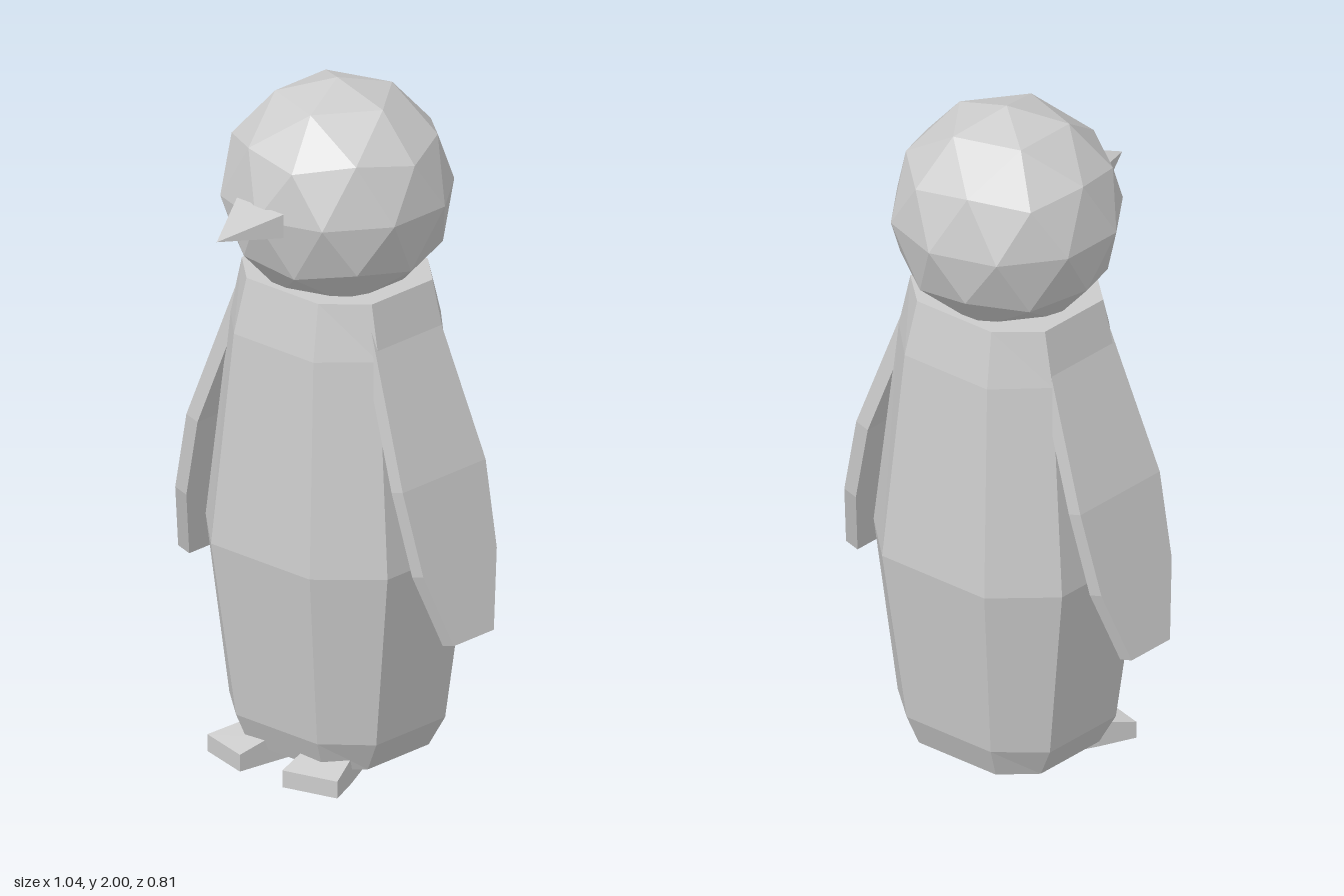
import * as THREE from 'three';

const material = new THREE.MeshStandardMaterial({ color: 0xcccccc, flatShading: true });
const CENTRE_Z = -0.08;

function addMesh(parent, name, geometry) {
  const mesh = new THREE.Mesh(geometry, material);
  mesh.name = name;
  parent.add(mesh);
  return mesh;
}

// Skins a row of cross-sections (equal numbers of [x, y, z] corners) and caps both ends.
function loft(rings) {
  const triangles = [];
  const n = rings[0].length;
  for (let i = 0; i < rings.length - 1; i++) {
    for (let j = 0; j < n; j++) {
      const k = (j + 1) % n;
      const [a, b, c, d] = [rings[i][j], rings[i][k], rings[i + 1][k], rings[i + 1][j]];
      triangles.push([a, b, c], [a, c, d]);
    }
  }
  const first = rings[0], last = rings[rings.length - 1];
  for (let j = 1; j < n - 1; j++) {
    triangles.push([first[0], first[j + 1], first[j]], [last[0], last[j], last[j + 1]]);
  }
  // A negative enclosed volume means the faces point inwards, so turn them round.
  let volume = 0;
  for (const t of triangles) {
    const [a, b, c] = t.map((p) => new THREE.Vector3(...p));
    volume += a.dot(b.cross(c));
  }
  if (volume < 0) triangles.forEach((t) => t.reverse());
  const geometry = new THREE.BufferGeometry();
  geometry.setAttribute('position', new THREE.Float32BufferAttribute(triangles.flat(2), 3));
  geometry.computeVertexNormals();
  return geometry;
}

// Eight-sided torso: height, half width, half depth, front half flat, side half flat
function bodyGeometry() {
  const sections = [
    [0.04, 0.23, 0.207, 0.14, 0.122],
    [0.13, 0.277, 0.243, 0.153, 0.138],
    [0.65, 0.343, 0.308, 0.186, 0.163],
    [1.27, 0.28, 0.255, 0.15, 0.13],
    [1.43, 0.245, 0.22, 0.135, 0.122],
  ];
  return loft(sections.map(([y, w, d, fx, fz]) =>
    [[w, fz], [fx, d], [-fx, d], [-w, fz], [-w, -fz], [-fx, -d], [fx, -d], [w, -fz]]
      .map(([x, z]) => [x, y, z + CENTRE_Z])));
}

// Bent slab: outer x, outer y, half width along z
function flipperGeometry(side) {
  const stations = [
    [0.23, 1.42, 0.122],
    [0.408, 0.93, 0.166],
    [0.468, 0.69, 0.147],
    [0.52, 0.48, 0.08],
  ];
  const z0 = CENTRE_Z + 0.005;
  return loft(stations.map(([x, y, w]) => [
    [side * x, y, z0 + w],
    [side * x, y, z0 - w],
    [side * (x - 0.042), y - 0.012, z0 - w],
    [side * (x - 0.042), y - 0.012, z0 + w],
  ]));
}

// Splayed wedge foot: inner corner, outer corner, height
function footGeometry(side) {
  const stations = [
    [[0.08, 0.225], [0.245, 0.18], 0.05],
    [[0.064, 0.12], [0.2, 0.075], 0.075],
    [[0.035, -0.06], [0.12, -0.085], 0.04],
  ];
  return loft(stations.map(([[xi, zi], [xo, zo], h]) => [
    [side * xi, 0, zi],
    [side * xo, 0, zo],
    [side * xo, h, zo],
    [side * xi, h, zi],
  ]));
}

// Four-sided pyramid ending in a low tip
function beakGeometry() {
  const base = [[-0.088, 1.64], [0.088, 1.64], [0.088, 1.71], [-0.088, 1.71]];
  return loft([
    base.map(([x, y]) => [x, y, 0.228]),
    base.map(() => [0, 1.656, 0.403]),
  ]);
}

export function createModel() {
  const bird = new THREE.Group();
  bird.name = 'bird';

  addMesh(bird, 'body', bodyGeometry());

  // Faceted ball turned so that one corner points straight up
  const ball = new THREE.IcosahedronGeometry(0.327, 1);
  ball.rotateZ(-Math.atan(2 / (1 + Math.sqrt(5))));
  addMesh(bird, 'head', ball).position.set(0, 1.673, CENTRE_Z);

  addMesh(bird, 'beak', beakGeometry());

  for (const [side, label] of [[1, 'left'], [-1, 'right']]) {
    addMesh(bird, label + 'Flipper', flipperGeometry(side));
    addMesh(bird, label + 'Foot', footGeometry(side));
  }
  return bird;
}
